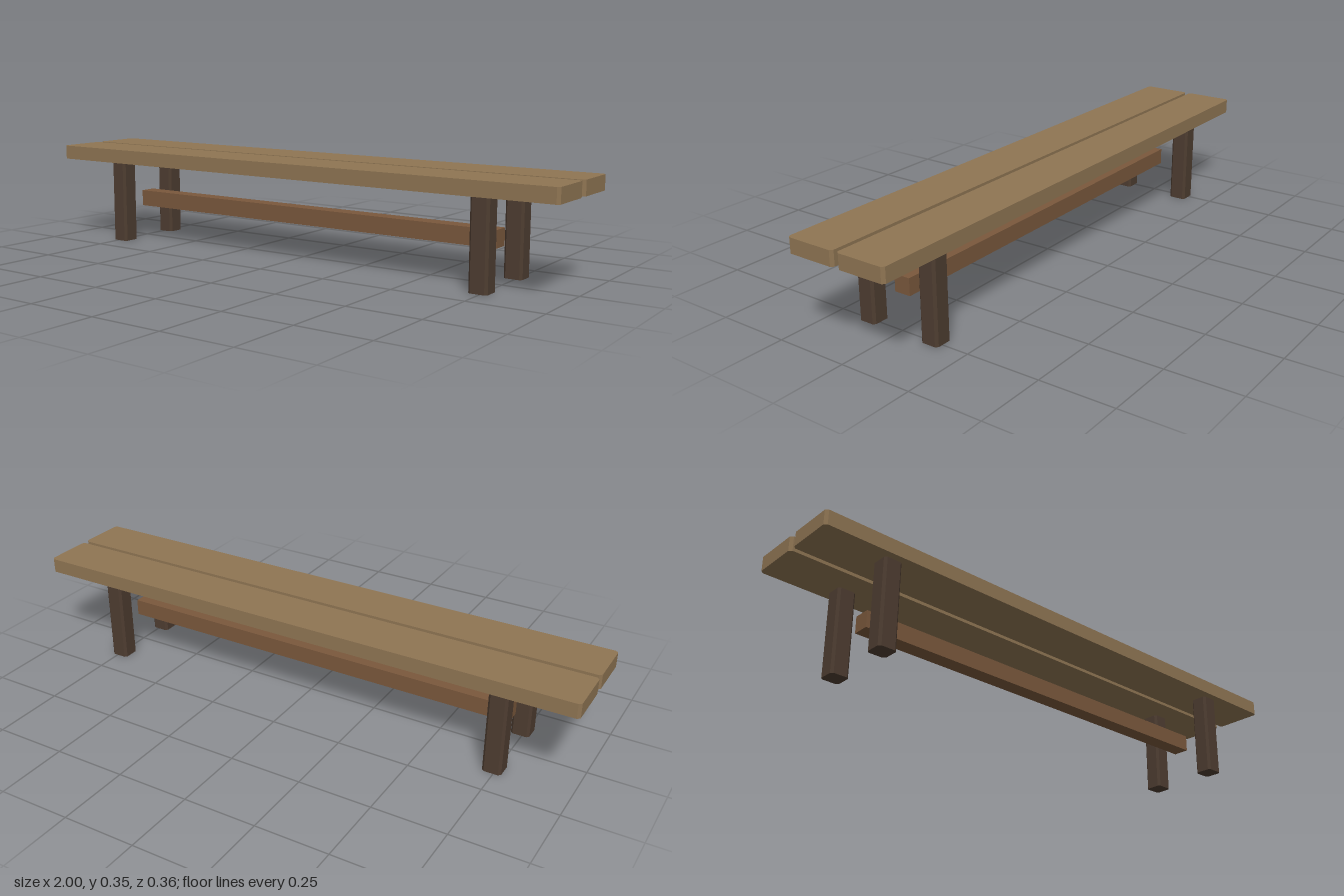
import * as THREE from 'three';

const plankWood = new THREE.MeshStandardMaterial({ color: 0x8f7553 });
const legWood = new THREE.MeshStandardMaterial({ color: 0x4e3d31 });
const railWood = new THREE.MeshStandardMaterial({ color: 0x7a583c });

// Upright block standing on y = 0 with chamfered vertical edges
function chamferedBlock(width, height, depth, chamfer) {
  const x = width / 2, z = depth / 2, c = chamfer;
  const outline = new THREE.Shape([
    [x, -z + c], [x, z - c], [x - c, z], [-x + c, z],
    [-x, z - c], [-x, -z + c], [-x + c, -z], [x - c, -z],
  ].map(([px, pz]) => new THREE.Vector2(px, pz)));
  const geometry = new THREE.ExtrudeGeometry(outline, { depth: height, bevelEnabled: false });
  return geometry.rotateX(-Math.PI / 2);
}

function addPart(group, name, geometry, material, x, y, z) {
  const mesh = new THREE.Mesh(geometry, material);
  mesh.name = name;
  mesh.position.set(x, y, z);
  group.add(mesh);
}

export function createModel() {
  const bench = new THREE.Group();
  bench.name = 'bench';

  const plank = chamferedBlock(2, 0.05, 0.174, 0.009);
  const leg = chamferedBlock(0.064, 0.296, 0.064, 0.008);

  for (const [end, sz] of [['front', 1], ['back', -1]]) {
    // Seat planks with a narrow gap between them
    addPart(bench, `${end}SeatPlank`, plank, plankWood, 0, 0.296, sz * 0.095);
    // Legs at the four corners
    for (const [side, sx] of [['Left', 1], ['Right', -1]]) {
      addPart(bench, `${end}${side}Leg`, leg, legWood, sx * 0.742, 0, sz * 0.124);
    }
  }

  // Long rail under the seat
  addPart(bench, 'stretcher', new THREE.BoxGeometry(1.484, 0.058, 0.058), railWood, 0, 0.147, 0);

  return bench;
}
